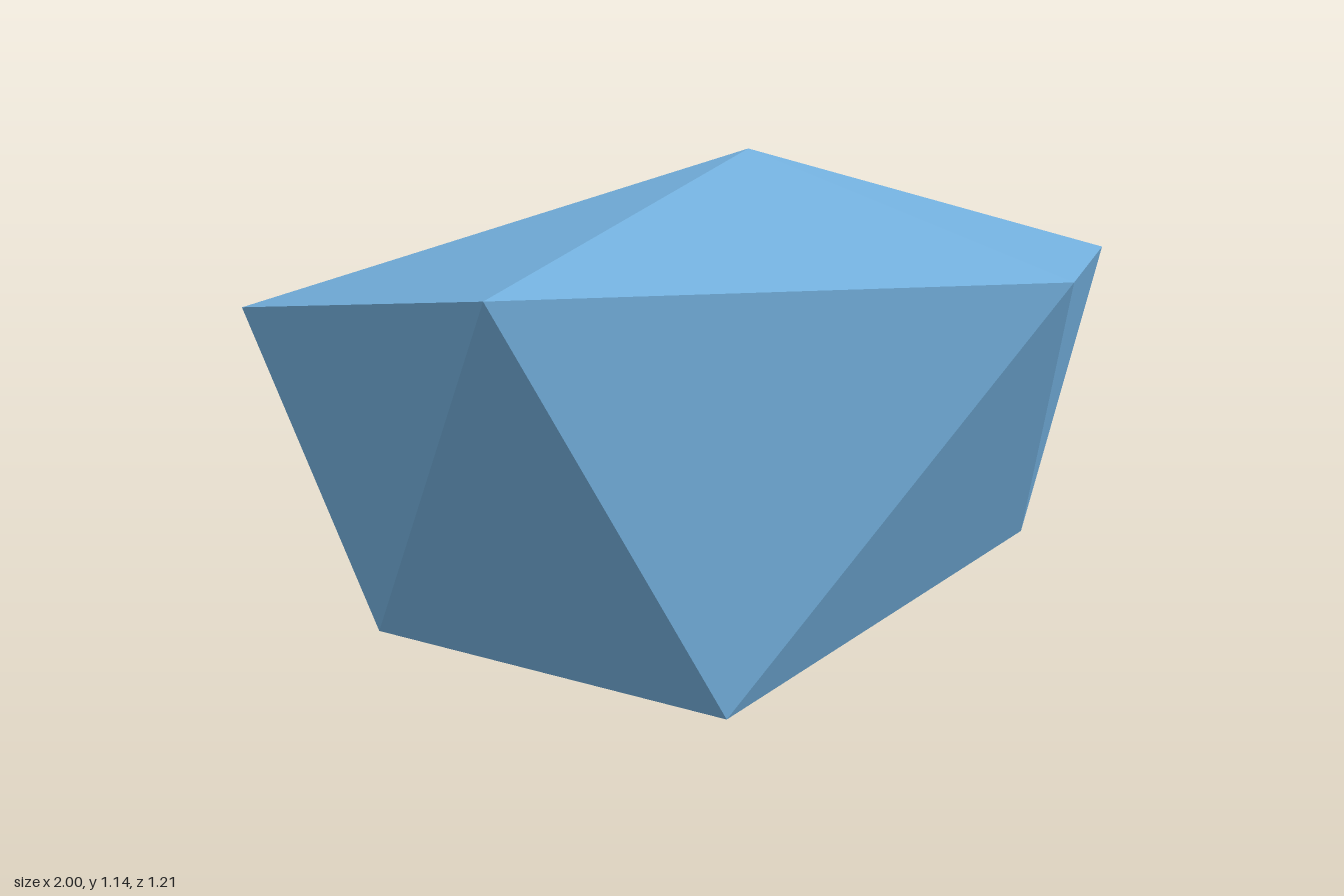
import * as THREE from 'three';

const blue = new THREE.MeshStandardMaterial({ color: 0x72aedb });
blue.name = 'blueStone';
const pale = new THREE.MeshStandardMaterial({ color: 0x9cc8df });
pale.name = 'paleStone';

// Twenty-sided stone: a pole, its ring, the opposite ring (lower[i] sits
// between upper[i] and upper[i + 1]) and the opposite pole.
function stone(name, material, pole, upper, lower, base) {
  const position = [];
  const face = (...corners) => corners.forEach((c) => position.push(...c));
  for (let i = 0; i < 5; i++) {
    const j = (i + 1) % 5;
    face(pole, upper[i], upper[j]);
    face(upper[j], upper[i], lower[i]);
    face(lower[i], lower[j], upper[j]);
    face(base, lower[j], lower[i]);
  }
  const geometry = new THREE.BufferGeometry();
  geometry.setAttribute('position', new THREE.Float32BufferAttribute(position, 3));
  geometry.computeVertexNormals(); // unshared corners give flat faces
  const mesh = new THREE.Mesh(geometry, material);
  mesh.name = name;
  return mesh;
}

export function createModel() {
  const group = new THREE.Group();
  group.name = 'rocks';

  // Large boulder, pole facing up
  group.add(stone('boulder', blue,
    [0, 1.14, -0.08],
    [[-0.95, 0.95, 0.36], [0.26, 0.9, 0.6], [1, 0.87, 0.07], [0.3, 0.81, -0.605], [-1, 0.86, -0.42]],
    [[-0.48, 0.125, 0.415], [0.49, 0.29, 0.28], [0.5, 0.16, -0.355], [-0.11, 0.38, -0.605], [-0.95, 0.29, -0.03]],
    [-0.03, 0.035, -0.02]));

  // Small rock half sunk into the boulder, pole facing sideways
  group.add(stone('smallRock', pale,
    [0.68, 0.215, -0.33],
    [[0.69, 0.235, -0.02], [0.29, 0, -0.19], [0.28, 0.19, -0.49], [0.43, 0.51, -0.545], [0.62, 0.41, -0.2]],
    [[0.245, 0.18, 0.11], [0.14, 0.13, -0.17], [0.2, 0.38, -0.42], [0.4, 0.57, -0.41], [0.53, 0.395, 0.12]],
    [0.2, 0.38, -0.1]));

  return group;
}
